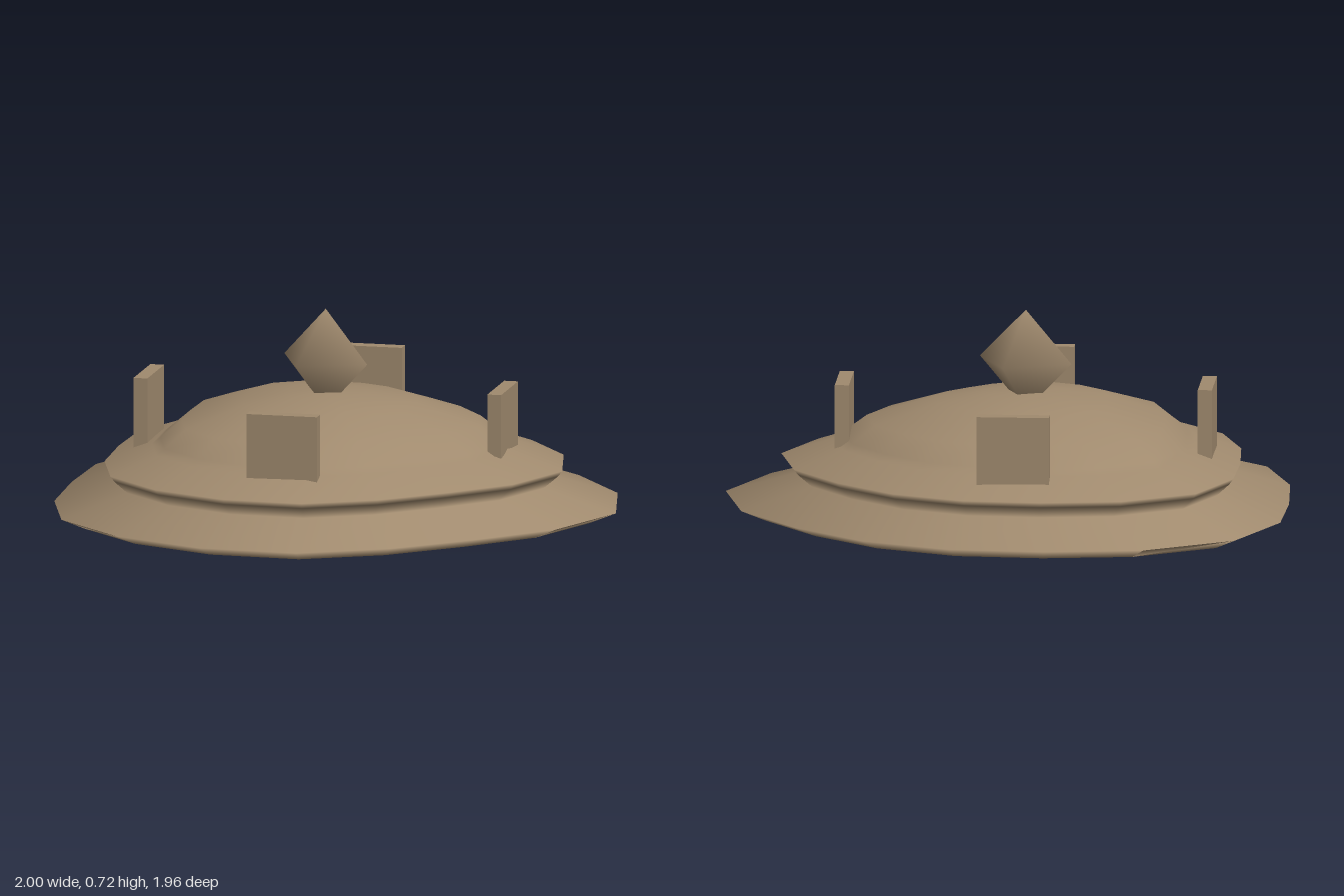
import * as THREE from 'three';

const CENTER_Z = -0.03;

// Right half of the rounded-triangle footprint, from back to front (x, z)
const half = [
  [0.17, -0.98], [0.49, -0.87], [0.79, -0.69], [1.0, -0.39], [1.0, -0.03],
  [0.88, 0.28], [0.73, 0.59], [0.51, 0.85], [0.18, 0.975],
];
const outline = [...half, ...half.map(([x, z]) => [-x, z]).reverse()];

// Stacks scaled copies of the footprint; each ring is [scale, height]
function loft(rings) {
  const n = outline.length, positions = [], index = [];
  for (const [s, y] of rings)
    for (const [x, z] of outline)
      positions.push(x * s, y, CENTER_Z + (z - CENTER_Z) * s);
  for (let r = 0; r < rings.length - 1; r++)
    for (let i = 0; i < n; i++) {
      const j = (i + 1) % n;
      const a = r * n + i, b = r * n + j, c = a + n, d = b + n;
      index.push(a, c, b, b, c, d);
    }
  const geometry = new THREE.BufferGeometry();
  geometry.setAttribute('position', new THREE.Float32BufferAttribute(positions, 3));
  geometry.setIndex(index);
  geometry.computeVertexNormals();
  return geometry;
}

export function createModel() {
  const model = new THREE.Group();
  const stone = new THREE.MeshStandardMaterial({ name: 'tan stone', color: 0xa08a6e });
  const add = (name, geometry) => {
    const mesh = new THREE.Mesh(geometry, stone);
    mesh.name = name;
    model.add(mesh);
    return mesh;
  };

  // Flared skirt, waist, upper rim and dome
  add('domedBody', loft([
    [0.91, 0], [1, 0.04], [0.75, 0.115], [0.8, 0.16], [0.815, 0.18],
    [0.64, 0.24], [0.61, 0.262], [0.53, 0.325], [0.31, 0.395], [0.14, 0.42], [0.001, 0.425],
  ]));
  add('underside', loft([[0.001, 0], [0.91, 0]]));

  // Octahedral finial
  add('finial', new THREE.SphereGeometry(0.18, 4, 2)).position.set(0, 0.535, CENTER_Z);

  // Four upright slabs around the dome
  for (let k = 0; k < 4; k++) {
    const angle = Math.PI / 8 + k * Math.PI / 2;
    const slab = add('slab', new THREE.BoxGeometry(0.255, 0.255, 0.05));
    slab.position.set(Math.sin(angle) * 0.64, 0.333, CENTER_Z + Math.cos(angle) * 0.64);
    slab.rotation.y = angle;
  }
  return model;
}
